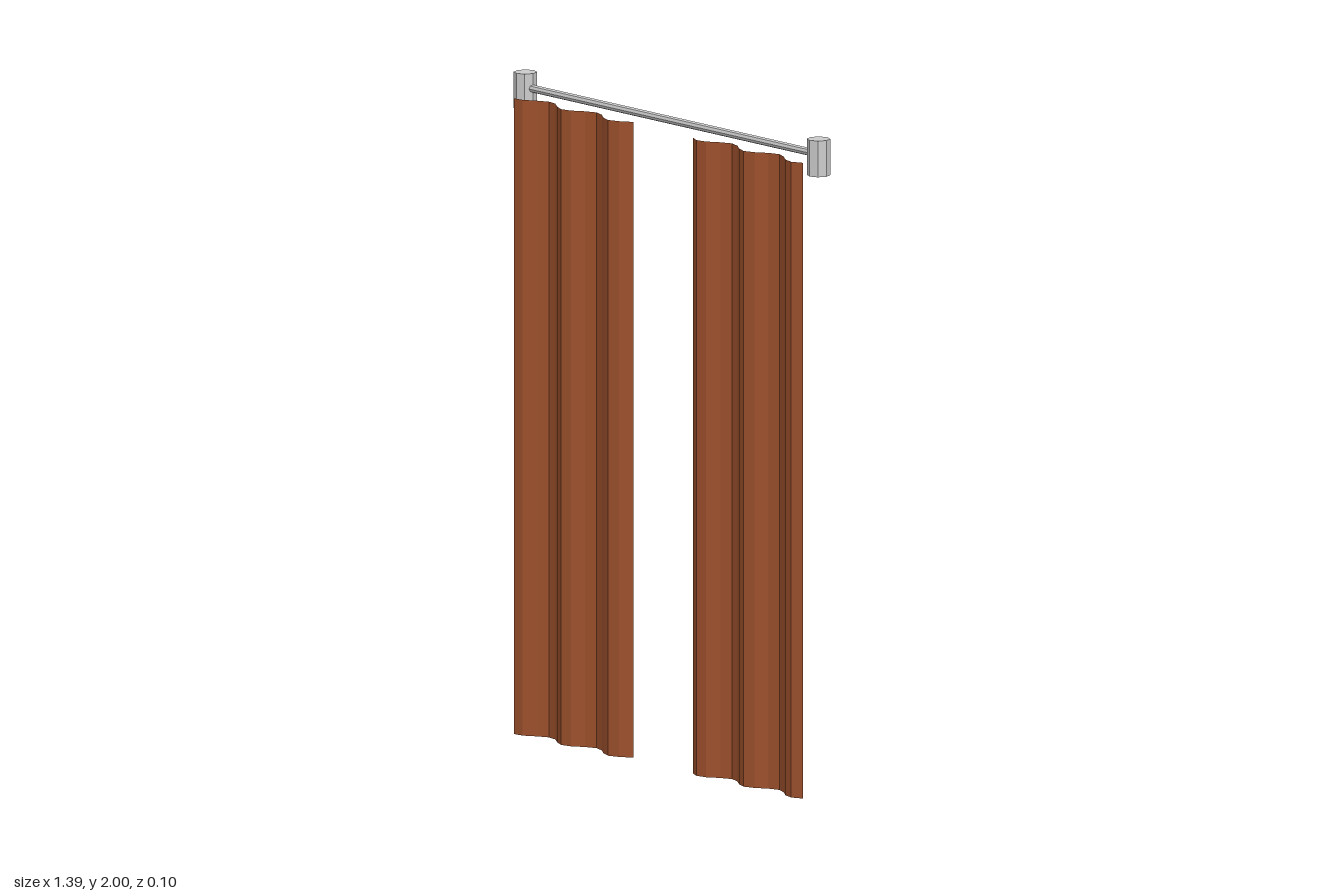
import * as THREE from 'three';

const ROD_Y = 1.954, ROD_Z = -0.013;

// Pleated sheet: a plane whose vertices follow a cosine wave in depth
function makeCurtain(name, x0, x1, crest, material) {
  const height = 1.93, depth = 0.024, period = 0.207;
  const geo = new THREE.PlaneGeometry(x1 - x0, height, 14, 1);
  geo.translate((x0 + x1) / 2, height / 2, 0);
  const pos = geo.attributes.position;
  for (let i = 0; i < pos.count; i++) {
    const phase = (2 * Math.PI * (pos.getX(i) - crest)) / period;
    pos.setZ(i, depth * (1 + Math.cos(phase)));
  }
  geo.computeVertexNormals();
  const mesh = new THREE.Mesh(geo, material);
  mesh.name = name;
  return mesh;
}

export function createModel() {
  const group = new THREE.Group();
  group.name = 'curtains';
  const metal = new THREE.MeshStandardMaterial({ color: 0xcccccc, flatShading: true });
  const cloth = new THREE.MeshStandardMaterial({ color: 0xa0522d, flatShading: true, side: THREE.DoubleSide });

  // Horizontal rod
  const rod = new THREE.Mesh(new THREE.CylinderGeometry(0.012, 0.012, 1.32, 8), metal);
  rod.name = 'rod';
  rod.rotation.z = Math.PI / 2;
  rod.position.set(0, ROD_Y, ROD_Z);
  group.add(rod);

  // Upright finials at both ends of the rod
  for (const side of [-1, 1]) {
    const finial = new THREE.Mesh(new THREE.CylinderGeometry(0.035, 0.035, 0.11, 8), metal);
    finial.name = side > 0 ? 'leftFinial' : 'rightFinial';
    finial.position.set(side * 0.66, 1.945, ROD_Z);
    group.add(finial);
  }

  // Two hanging panels, with their pleats out of step
  group.add(makeCurtain('rightCurtain', -0.645, -0.147, -0.425, cloth));
  group.add(makeCurtain('leftCurtain', 0.143, 0.641, 0.393, cloth));
  return group;
}
